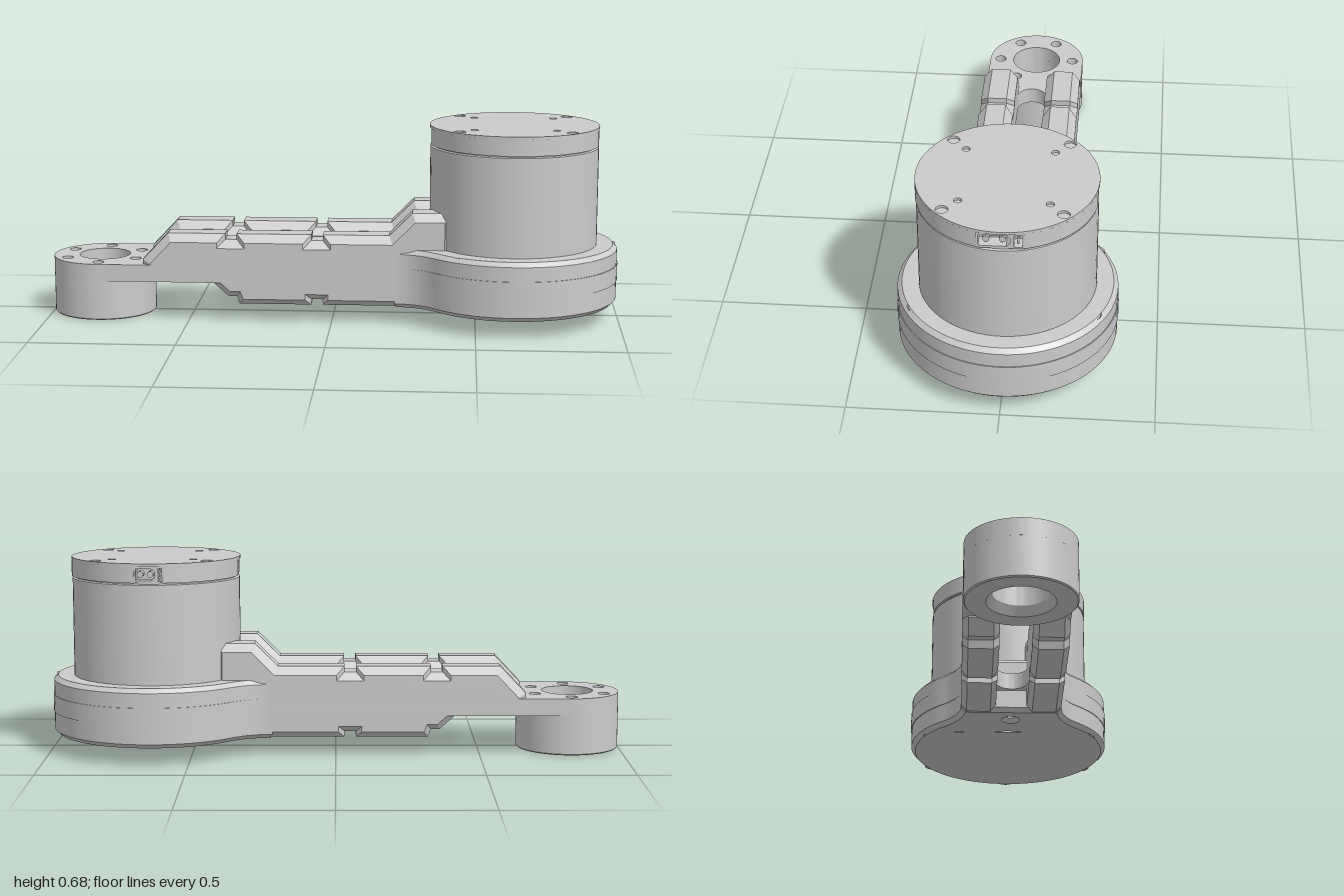
import * as THREE from 'three';
import { toCreasedNormals } from 'three/addons/utils/BufferGeometryUtils.js';

const material = new THREE.MeshStandardMaterial({ color: 0xcccccc });
const MX = 0.63; // motor axis
const PX = -0.82; // pivot axis

function add(parent, name, geometry, crease = 0.5) {
  const mesh = new THREE.Mesh(toCreasedNormals(geometry, crease), material);
  mesh.name = name;
  parent.add(mesh);
  return mesh;
}

function circle(x, y, r) {
  return new THREE.Path().absarc(x, y, r, 0, Math.PI * 2, true);
}

// Extrudes a plan shape upward between two heights, with an inset chamfer
function slab(shape, y0, y1, bevel = 0, curveSegments = 32) {
  const g = new THREE.ExtrudeGeometry(shape, {
    depth: y1 - y0 - 2 * bevel, curveSegments, bevelEnabled: bevel > 0,
    bevelSize: bevel, bevelThickness: bevel, bevelOffset: -bevel, bevelSegments: 1,
  });
  return g.rotateX(-Math.PI / 2).translate(0, y0 + bevel, 0);
}

// Extrudes a side profile across the width of one rail
function rail(points, z0, z1, bevel) {
  const shape = new THREE.Shape(points.map(([x, y]) => new THREE.Vector2(x, y)));
  return new THREE.ExtrudeGeometry(shape, {
    depth: z1 - z0 - 2 * bevel, bevelEnabled: true,
    bevelSize: bevel, bevelThickness: bevel, bevelOffset: -bevel, bevelSegments: 1,
  }).translate(0, 0, z0 + bevel);
}

function lathe(points, x) {
  const g = new THREE.LatheGeometry(points.map(([r, y]) => new THREE.Vector2(r, y)), 72);
  return g.translate(x, 0, 0);
}

// Continues an outline along the neck and round the motor flange
function flangeOutline(shape, r) {
  const a = 0.75, dx = r * Math.cos(a), dz = r * Math.sin(a);
  shape.lineTo(0.22, -0.18);
  shape.quadraticCurveTo(0.3, -0.18, MX - dx, -dz);
  shape.absarc(MX, 0, r, Math.PI + a, 3 * Math.PI - a, false);
  shape.quadraticCurveTo(0.3, 0.18, 0.22, 0.18);
}

function flangeHoles(shape) {
  for (let i = 0; i < 6; i++) {
    const a = i * Math.PI / 3;
    shape.holes.push(circle(MX + 0.325 * Math.cos(a), 0.325 * Math.sin(a), 0.018));
  }
  shape.holes.push(circle(MX, 0, 0.2));
}

function makeArm() {
  const arm = new THREE.Group();
  arm.name = 'arm';

  // Middle plate with pivot eye, long slot and flange
  const plate = new THREE.Shape();
  plate.absarc(PX, 0, 0.18, Math.PI / 2, Math.PI * 1.5, false);
  flangeOutline(plate, 0.367);
  plate.closePath();
  const slot = new THREE.Path();
  slot.absarc(-0.555, 0, 0.055, Math.PI / 2, Math.PI * 1.5, false);
  slot.absarc(0.15, 0, 0.055, -Math.PI / 2, Math.PI / 2, false);
  slot.closePath();
  plate.holes.push(slot, circle(PX, 0, 0.09));
  for (let i = 0; i < 6; i++) {
    const a = Math.PI / 6 + i * Math.PI / 3;
    plate.holes.push(circle(PX + 0.14 * Math.cos(a), 0.14 * Math.sin(a), 0.02));
  }
  flangeHoles(plate);
  add(arm, 'middlePlate', slab(plate, 0.14, 0.2));

  // Chamfered flange body around the motor
  const flange = new THREE.Shape();
  flange.moveTo(0.22, 0.18);
  flangeOutline(flange, 0.364);
  flangeHoles(flange);
  for (let i = 0; i < 4; i++) {
    const a = Math.PI / 4 + i * Math.PI / 2;
    flange.holes.push(circle(MX + 0.255 * Math.cos(a), 0.255 * Math.sin(a), 0.012));
  }
  add(arm, 'flange', slab(flange, 0.06, 0.265, 0.015));

  // Stepped rails above and below the plate, on both sides of the slot
  const upper = [[-0.66, 0.16], [-0.66, 0.215], [-0.57, 0.31], [-0.37, 0.31], [-0.37, 0.29],
    [-0.33, 0.29], [-0.33, 0.31], [-0.07, 0.31], [-0.07, 0.29], [-0.03, 0.29], [-0.03, 0.31],
    [0.2, 0.31], [0.28, 0.39], [0.42, 0.39], [0.42, 0.16]];
  const lower = [[-0.41, 0.165], [-0.41, 0.135], [-0.36, 0.09], [-0.33, 0.09], [-0.32, 0.063],
    [-0.07, 0.063], [-0.07, 0.083], [-0.03, 0.083], [-0.03, 0.063], [0.33, 0.063], [0.33, 0.165]];
  for (const [z0, z1, side] of [[0.055, 0.18, 'Front'], [-0.18, -0.055, 'Back']]) {
    add(arm, 'upperRail' + side, rail(upper, z0, z1, 0.028), 0.3);
    add(arm, 'lowerRail' + side, rail(lower, z0, z1, 0.02), 0.3);
  }

  // Pivot boss with a chamfered bore
  add(arm, 'pivotBoss', lathe([[0.11, 0], [0.176, 0], [0.18, 0.004], [0.18, 0.145],
    [0.09, 0.145], [0.09, 0.03], [0.11, 0]], PX));
  return arm;
}

// Socket facing +x, set in a notch of the motor cap
function makeConnector(width) {
  const socket = new THREE.Group();
  socket.name = 'connector';
  const w = width / 2, h = 0.028;
  const frame = new THREE.Shape();
  frame.moveTo(-w, -h).lineTo(w, -h).lineTo(w, h).lineTo(-w, h).closePath();
  const big = new THREE.Path(), small = new THREE.Path();
  const split = w * 0.4;
  big.moveTo(-w + 0.006, -0.02).lineTo(split - 0.012, -0.02).lineTo(split, -0.01)
    .lineTo(split, 0.01).lineTo(split - 0.012, 0.02).lineTo(-w + 0.006, 0.02).closePath();
  small.moveTo(split + 0.012, -0.022).lineTo(w - 0.006, -0.022)
    .lineTo(w - 0.006, 0.022).lineTo(split + 0.012, 0.022).closePath();
  frame.holes.push(big, small);
  const g = new THREE.ExtrudeGeometry(frame, { depth: 0.045, bevelEnabled: false });
  add(socket, 'socketFrame', g.rotateY(Math.PI / 2).translate(0.243, 0.643, 0));
  const pin = (z, y, r) => {
    const p = new THREE.CylinderGeometry(r, r, 0.04, 12).rotateZ(Math.PI / 2);
    add(socket, 'pin', p.translate(0.26, y, z), 0.8);
  };
  pin(w * 0.6, 0.643, 0.011);
  pin(-w * 0.08, 0.643, 0.011);
  pin(-w * 0.73, 0.653, 0.004);
  pin(-w * 0.73, 0.633, 0.004);
  return socket;
}

function makeMotor() {
  const motor = new THREE.Group();
  motor.name = 'motor';
  add(motor, 'motorHousing', lathe([[0, 0.15], [0.293, 0.15], [0.293, 0.608], [0.286, 0.611],
    [0.286, 0.618], [0, 0.618]], MX));

  // Cap ring notched for three connectors
  const sockets = [[0, 0.15], [Math.PI / 2, 0.1], [Math.PI, 0.12]];
  const cap = new THREE.Shape();
  const R = 0.295, inner = 0.24;
  sockets.forEach(([a, width], i) => {
    const half = Math.asin(width / 2 / R);
    const corner = (r, s) => cap.lineTo(MX + r * Math.cos(a) - s * Math.sin(a),
      r * Math.sin(a) + s * Math.cos(a));
    const rim = Math.cos(half) * R;
    if (i === 0) cap.moveTo(MX + rim, -width / 2);
    corner(inner, -width / 2);
    corner(inner, width / 2);
    corner(rim, width / 2);
    const [next, nextWidth] = sockets[i + 1] || [Math.PI * 2, sockets[0][1]];
    cap.absarc(MX, 0, R, a + half, next - Math.asin(nextWidth / 2 / R), false);
    const socket = makeConnector(width);
    socket.position.x = MX;
    socket.rotation.y = a;
    motor.add(socket);
  });
  add(motor, 'capRing', slab(cap, 0.615, 0.672));

  // Lid with screw holes
  const lid = new THREE.Shape().absarc(MX, 0, R, 0, Math.PI * 2, false);
  for (const sx of [-1, 1]) for (const sz of [-1, 1]) {
    lid.holes.push(circle(MX + sx * 0.14, sz * 0.145, 0.013));
    lid.holes.push(circle(MX + sx * 0.19, sz * 0.19, 0.02));
  }
  add(motor, 'lid', slab(lid, 0.671, 0.681, 0, 40));

  // Output rotor seen through the flange opening
  const rotor = new THREE.Shape().absarc(MX, 0, 0.165, 0, Math.PI * 2, false);
  rotor.holes.push(circle(MX, 0, 0.05));
  for (let i = 0; i < 6; i++) {
    const a = i * Math.PI / 3;
    rotor.holes.push(circle(MX + 0.108 * Math.cos(a), 0.108 * Math.sin(a), 0.034));
  }
  add(motor, 'outputRotor', slab(rotor, 0.1, 0.155, 0.006));
  return motor;
}

export function createModel() {
  const model = new THREE.Group();
  model.name = 'motorArm';
  model.add(makeArm(), makeMotor());
  return model;
}
